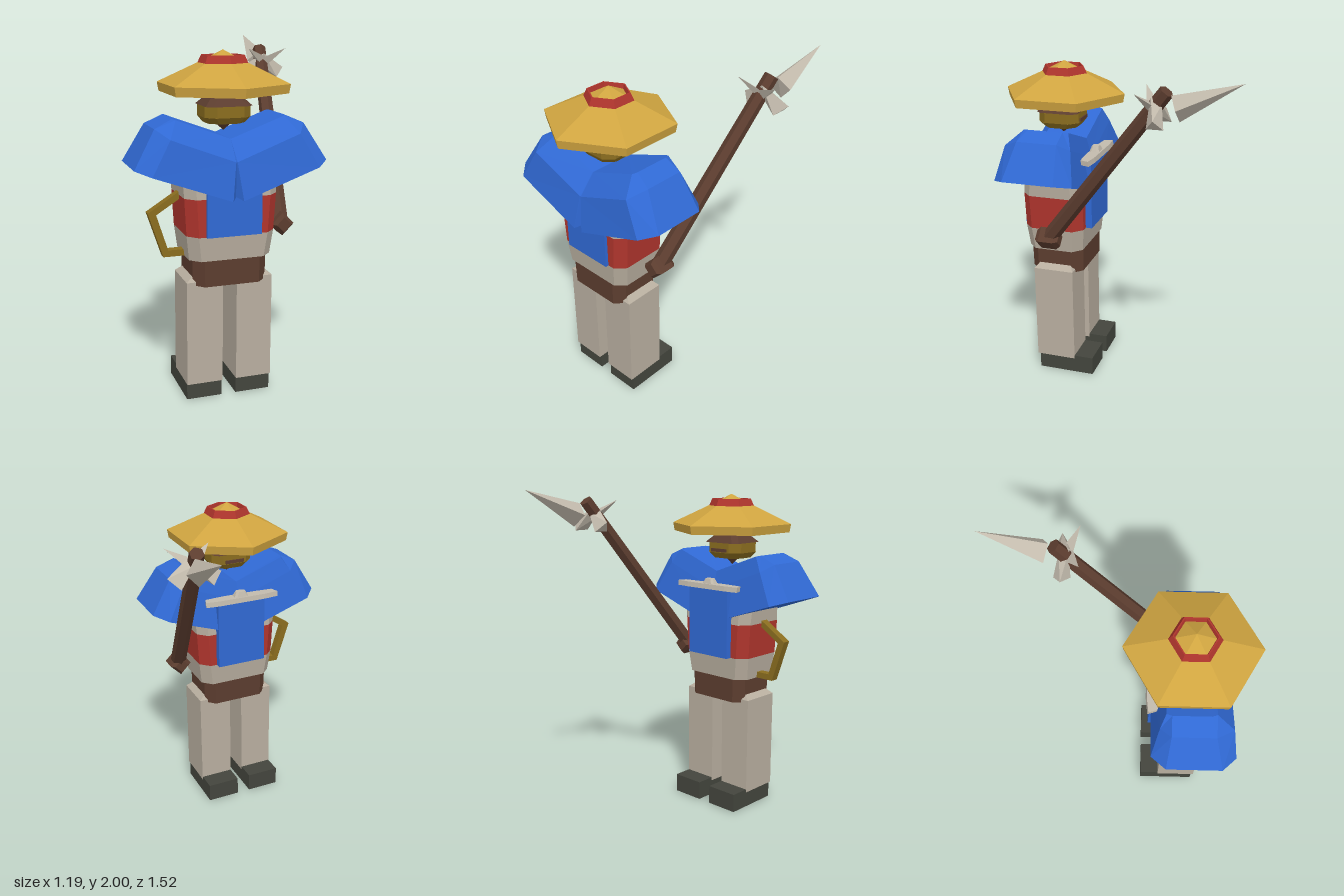
import * as THREE from 'three';
import { ConvexGeometry } from 'three/addons/geometries/ConvexGeometry.js';

const paint = (name, color) => {
  const m = new THREE.MeshStandardMaterial({ color, flatShading: true, side: THREE.DoubleSide });
  m.name = name;
  return m;
};

export function createModel() {
  const blue = paint('blue cloth', 0x3069d4);
  const red = paint('red cloth', 0xb0352d);
  const linen = paint('linen', 0xb8ae9f);
  const brown = paint('brown leather', 0x5c3d2f);
  const gold = paint('straw gold', 0xcfa440);
  const olive = paint('dark gold', 0x8a6d1f);
  const steel = paint('steel', 0xc2baac);
  const boot = paint('boot', 0x43453d);
  const sole = paint('sole', 0x7a746a);

  const model = new THREE.Group();
  model.name = 'halberdGuard';
  const body = new THREE.Group();
  body.name = 'body';
  body.position.x = -0.055;
  model.add(body);

  const add = (parent, name, geo, mat) => {
    const mesh = new THREE.Mesh(geo, mat);
    mesh.name = name;
    parent.add(mesh);
    return mesh;
  };
  // Box given by its limits
  const box = (parent, name, mat, x0, x1, y0, y1, z0, z1) => {
    const m = add(parent, name, new THREE.BoxGeometry(x1 - x0, y1 - y0, z1 - z0), mat);
    m.position.set((x0 + x1) / 2, (y0 + y1) / 2, (z0 + z1) / 2);
    return m;
  };
  // Upright prism with bevelled corners, tapering from lower to upper half sizes
  const prism = (parent, name, mat, y0, y1, lower, upper, c, cx, cz) => {
    const geo = new THREE.CylinderGeometry(1, 1, 1, 8, 1, false, Math.PI / 8);
    const p = geo.attributes.position;
    const snap = (v, h) => Math.abs(v) < 0.01 ? 0 : Math.sign(v) * (Math.abs(v) > 0.6 ? h : h - c);
    for (let i = 0; i < p.count; i++) {
      const top = p.getY(i) > 0, [hx, hz] = top ? upper : lower;
      p.setXYZ(i, cx + snap(p.getX(i), hx), top ? y1 : y0, cz + snap(p.getZ(i), hz));
    }
    geo.computeVertexNormals();
    return add(parent, name, geo, mat);
  };
  const lathe = (parent, name, mat, sides, pts, z = 0.39) => {
    const m = add(parent, name, new THREE.LatheGeometry(pts.map(q => new THREE.Vector2(...q)), sides), mat);
    m.position.z = z;
    return m;
  };
  const hull = (parent, name, mat, pts) =>
    add(parent, name, new ConvexGeometry(pts.map(q => new THREE.Vector3(...q))), mat);

  // Legs and boots
  for (const s of [-1, 1]) {
    const leg = new THREE.Group();
    leg.name = s < 0 ? 'rightLeg' : 'leftLeg';
    leg.position.x = s * 0.146;
    body.add(leg);
    box(leg, 'trouser', linen, -0.105, 0.105, 0.1, 0.71, 0.28, 0.53);
    prism(leg, 'trouserTop', linen, 0.71, 0.74, [0.105, 0.125], [0.065, 0.1], 0.001, 0, 0.405);
    box(leg, 'boot', boot, -0.103, 0.103, 0.004, 0.105, 0.16, 0.515);
    box(leg, 'bootToe', boot, -0.103, 0.103, 0.1, 0.12, 0.16, 0.28);
    box(leg, 'sole', sole, -0.07, 0.07, 0, 0.005, 0.2, 0.475);
  }

  // Belt and tunic bands
  prism(body, 'belt', brown, 0.69, 0.84, [0.212, 0.165], [0.215, 0.167], 0.055, 0, 0.405);
  prism(body, 'tunicHem', linen, 0.84, 0.98, [0.235, 0.172], [0.252, 0.185], 0.055, 0, 0.405);
  prism(body, 'sash', red, 0.98, 1.19, [0.252, 0.185], [0.264, 0.187], 0.055, 0, 0.405);
  prism(body, 'tunicTop', linen, 1.19, 1.33, [0.264, 0.187], [0.272, 0.175], 0.055, 0, 0.405);
  box(body, 'frontPanel', blue, -0.156, 0.156, 0.98, 1.33, 0.57, 0.61);
  box(body, 'backPanel', blue, -0.156, 0.156, 0.98, 1.4, 0.18, 0.225);

  // Bar and knob holding the back panel
  hull(body, 'panelBar', steel, [-1, 1].flatMap(s => [
    [s * 0.24, 1.4, 0.165], [s * 0.24, 1.43, 0.17], [s * 0.22, 1.4, 0.23],
    [s * 0.22, 1.43, 0.23], [s * 0.15, 1.4, 0.155], [s * 0.15, 1.43, 0.16]]));
  prism(body, 'barKnob', steel, 1.43, 1.46, [0.045, 0.03], [0.03, 0.02], 0.012, 0, 0.2);

  // Shoulder cape: three rings, each half running front centre, corner, side, back centre
  const rings = [
    [[0, 1.2, 0.62], [0.03, 1.185, 0.665], [0.465, 1.34, 0.66], [0.542, 1.365, 0.58],
      [0.542, 1.365, 0.27], [0.465, 1.34, 0.187], [0, 1.18, 0.187]],
    [[0, 1.39, 0.625], [0.004, 1.39, 0.63], [0.36, 1.525, 0.63], [0.42, 1.57, 0.53],
      [0.42, 1.57, 0.29], [0.36, 1.525, 0.23], [0, 1.39, 0.23]],
    [[0, 1.5, 0.53], [0.004, 1.501, 0.53], [0.305, 1.612, 0.53], [0.316, 1.615, 0.5],
      [0.316, 1.615, 0.29], [0.305, 1.612, 0.26], [0, 1.5, 0.26]],
  ];
  const verts = [];
  for (const s of [-1, 1]) {
    const tri = (a, b, c) => (s > 0 ? [a, b, c] : [a, c, b]).forEach(q => verts.push(s * q[0], q[1], q[2]));
    for (let j = 0; j < 6; j++) {
      for (let k = 0; k < 2; k++) {
        const a = rings[k][j], b = rings[k][j + 1], c = rings[k + 1][j + 1], d = rings[k + 1][j];
        tri(a, b, d);
        tri(b, c, d);
      }
      if (j < 5) {
        tri(rings[2][6], rings[2][j], rings[2][j + 1]);
        tri(rings[0][6], rings[0][j + 1], rings[0][j]);
      }
    }
  }
  const capeGeo = new THREE.BufferGeometry();
  capeGeo.setAttribute('position', new THREE.Float32BufferAttribute(verts, 3));
  capeGeo.computeVertexNormals();
  add(body, 'cape', capeGeo, blue);

  // Head
  prism(body, 'face', olive, 1.61, 1.67, [0.13, 0.125], [0.13, 0.125], 0.055, 0, 0.405);
  prism(body, 'jaw', olive, 1.575, 1.61, [0.105, 0.1], [0.13, 0.125], 0.05, 0, 0.405);
  prism(body, 'hair', brown, 1.67, 1.745, [0.132, 0.127], [0.06, 0.06], 0.03, 0, 0.405);
  lathe(body, 'chin', brown, 4, [[0, 1.53], [0.06, 1.58], [0, 1.58]], 0.405);
  box(body, 'moustache', brown, -0.06, 0.06, 1.615, 1.635, 0.272, 0.285);

  // Six-sided straw hat with a red crown ring
  lathe(body, 'hatBrim', gold, 6, [[0, 1.86], [0.345, 1.737], [0.362, 1.735], [0.371, 1.785], [0.14, 1.893]]);
  lathe(body, 'hatRing', red, 6, [[0.14, 1.893], [0.12, 1.935], [0.112, 1.935], [0.105, 1.905]]);
  lathe(body, 'hatCrown', gold, 6, [[0.107, 1.908], [0, 1.963]]);

  // Bent arm loop at the right side
  const loop = new THREE.Shape([
    [-0.29, 1.225], [-0.495, 1.095], [-0.41, 0.84], [-0.28, 0.84],
    [-0.28, 0.877], [-0.382, 0.877], [-0.448, 1.083], [-0.29, 1.183],
  ].map(q => new THREE.Vector2(...q)));
  add(model, 'armLoop', new THREE.ExtrudeGeometry(loop, { depth: 0.05, bevelEnabled: false }), olive)
    .position.z = 0.38;

  // Polearm: shaft, butt, side blades, spikes and point
  const pole = new THREE.Group();
  pole.name = 'polearm';
  model.add(pole);
  const from = new THREE.Vector3(0.3, 0.97, 0.385), to = new THREE.Vector3(0.443, 1.93, -0.355);
  const dir = to.clone().sub(from);
  const shaft = add(pole, 'shaft', new THREE.CylinderGeometry(0.041, 0.048, dir.length(), 6), brown);
  shaft.position.copy(from).addScaledVector(dir, 0.5);
  shaft.quaternion.setFromUnitVectors(new THREE.Vector3(0, 1, 0), dir.normalize());
  const butt = lathe(pole, 'butt', brown, 4,
    [[0, -0.07], [0.045, -0.07], [0.068, -0.045], [0.068, 0.045], [0.045, 0.07], [0, 0.07]]);
  butt.rotation.x = Math.PI / 2;
  butt.position.set(0.3, 0.972, 0.383);

  const cx = 0.445;
  for (const s of [-1, 1]) {
    hull(pole, 'sideBlade', steel, [
      [cx, 1.9, -0.27], [cx, 1.82, -0.29], [cx, 1.86, -0.33],
      [cx + s * 0.15, 1.808, -0.32], [cx + s * 0.09, 1.75, -0.363], [cx + s * 0.09, 1.75, -0.27]]);
    hull(pole, 'spike', steel, [
      [cx, 1.88, -0.25], [cx, 1.81, -0.27], [cx + s * 0.04, 1.85, -0.31], [cx + s * 0.125, 1.934, -0.215]]);
  }
  hull(pole, 'spearPoint', steel, [
    [0.385, 1.85, -0.41], [0.53, 1.85, -0.42], [0.465, 1.915, -0.383], [0.465, 1.78, -0.43], [0.48, 2, -0.757]]);

  return model;
}
